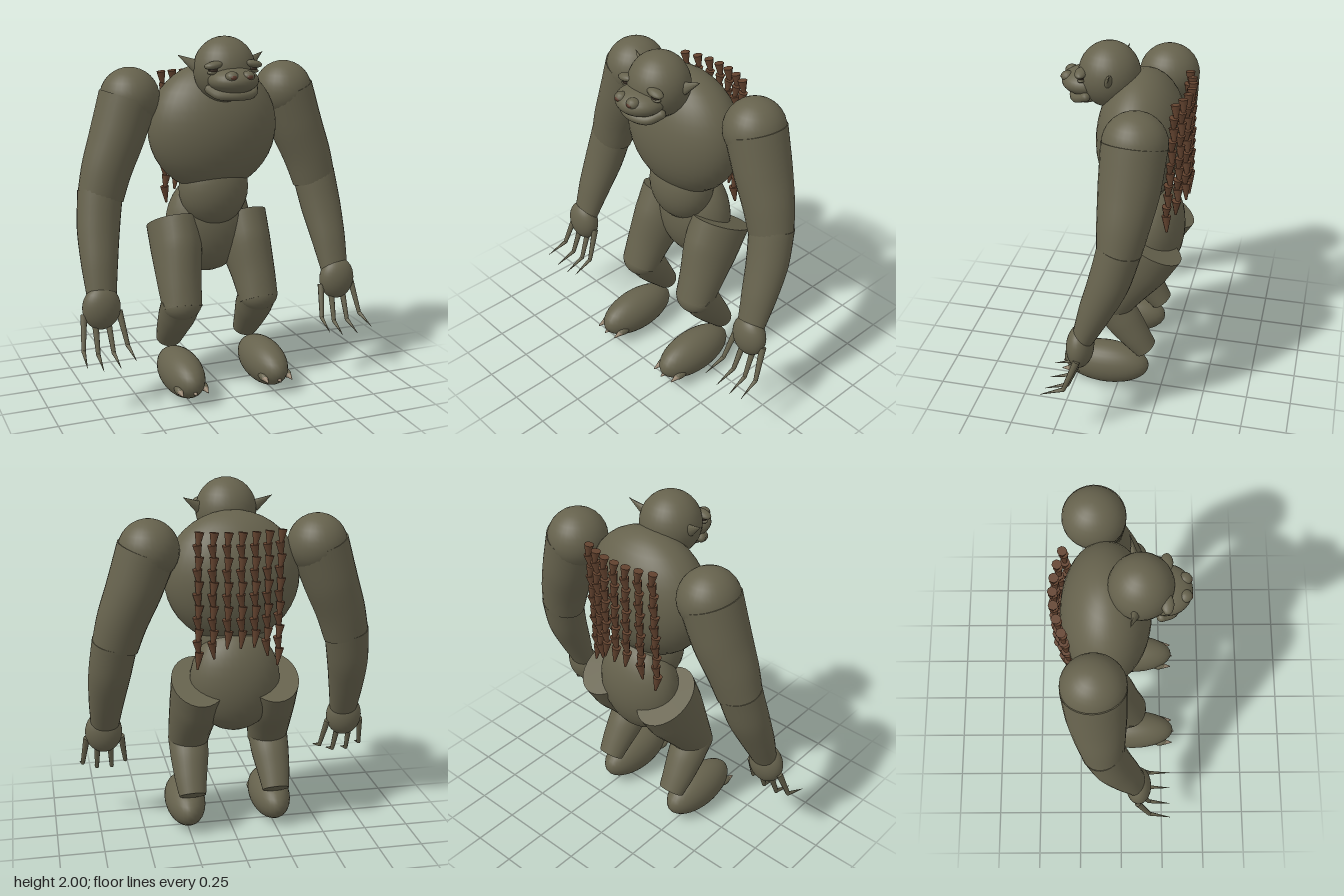
import * as THREE from 'three';

const mat = (name, color) => {
  const m = new THREE.MeshStandardMaterial({ color });
  m.name = name;
  return m;
};
const V = (a) => new THREE.Vector3(a[0], a[1], a[2]);

export function createModel() {
  const model = new THREE.Group();
  model.name = 'brute';
  const skin = mat('olive skin', 0x66624d);
  const braid = mat('brown braids', 0x63432f);
  const horn = mat('horn nails', 0x94836e);
  const nostrilMat = mat('dark red nostrils', 0x5a3a2c);
  const eyeMat = mat('dark eyes', 0x3b3026);

  const add = (name, geo, m, parent = model) => {
    const mesh = new THREE.Mesh(geo, m);
    mesh.name = name;
    parent.add(mesh);
    return mesh;
  };
  const ball = (name, pos, radii, m = skin, parent = model, seg = 32) => {
    const mesh = add(name, new THREE.SphereGeometry(1, seg, seg / 2), m, parent);
    mesh.position.set(...pos);
    mesh.scale.set(...radii);
    return mesh;
  };
  // Tapered rod from a to b
  const rod = (name, a, b, r1, r2, m, parent = model, seg = 8) => {
    const A = V(a), B = V(b), d = B.clone().sub(A);
    const mesh = add(name, new THREE.CylinderGeometry(r2, r1, d.length(), seg), m, parent);
    mesh.position.copy(A).add(B).multiplyScalar(0.5);
    mesh.quaternion.setFromUnitVectors(new THREE.Vector3(0, 1, 0), d.normalize());
    return mesh;
  };
  // Smooth limb through stations [x, y, z, side radius, front radius], with flat ends
  const limb = (name, stations, parent) => {
    const N = 28, M = (stations.length - 1) * 5;
    const path = new THREE.CatmullRomCurve3(stations.map(V));
    const size = new THREE.CatmullRomCurve3(stations.map((s) => new THREE.Vector3(s[3], s[4], 0)));
    const pos = [], idx = [];
    const ring = (k) => {
      const c = path.getPoint(k / M), r = size.getPoint(k / M), t = path.getTangent(k / M);
      const side = new THREE.Vector3(1, 0, 0).addScaledVector(t, -t.x).normalize();
      const f = t.clone().cross(side);
      for (let j = 0; j < N; j++) {
        const a = (j / N) * Math.PI * 2;
        const p = c.clone().addScaledVector(side, Math.cos(a) * r.x).addScaledVector(f, Math.sin(a) * r.y);
        pos.push(p.x, p.y, p.z);
      }
      return c;
    };
    for (let k = 0; k <= M; k++) ring(k);
    for (let k = 0; k < M; k++) {
      for (let j = 0; j < N; j++) {
        const a = k * N + j, b = k * N + ((j + 1) % N);
        idx.push(a, b, b + N, a, b + N, a + N);
      }
    }
    for (const k of [0, M]) {
      const base = pos.length / 3, c = ring(k);
      pos.push(c.x, c.y, c.z);
      for (let j = 0; j < N; j++) {
        const a = base + j, b = base + ((j + 1) % N);
        if (k) idx.push(base + N, a, b);
        else idx.push(base + N, b, a);
      }
    }
    const geo = new THREE.BufferGeometry();
    geo.setAttribute('position', new THREE.Float32BufferAttribute(pos, 3));
    geo.setIndex(idx);
    geo.computeVertexNormals();
    return add(name, geo, skin, parent);
  };

  // Torso
  ball('chest', [0, 1.49, -0.075], [0.37, 0.36, 0.237], skin, model, 40);
  ball('belly', [0, 1.15, -0.06], [0.2, 0.22, 0.16]);
  ball('pelvis', [0, 0.93, -0.15], [0.25, 0.29, 0.17]);

  // Head
  const head = new THREE.Group();
  head.name = 'head';
  model.add(head);
  ball('skull', [0, 1.825, 0.1], [0.167, 0.175, 0.165], skin, head);
  ball('muzzle', [0, 1.78, 0.225], [0.135, 0.07, 0.13], skin, head);
  ball('jaw', [0, 1.715, 0.215], [0.12, 0.04, 0.085], skin, head);
  const lip = new THREE.CatmullRomCurve3([[-0.125, 1.735, 0.2], [-0.09, 1.71, 0.26], [0, 1.705, 0.288],
    [0.09, 1.71, 0.26], [0.125, 1.735, 0.2]].map(V));
  add('lowerLip', new THREE.TubeGeometry(lip, 24, 0.025, 10), skin, head);

  for (const s of [-1, 1]) {
    const sideName = s > 0 ? 'left' : 'right';
    // Face details
    ball('lipCorner', [s * 0.125, 1.735, 0.2], [0.025, 0.025, 0.025], skin, head, 12);
    ball('noseKnob', [s * 0.045, 1.81, 0.315], [0.035, 0.028, 0.035], skin, head, 16);
    ball('nostril', [s * 0.045, 1.808, 0.343], [0.018, 0.012, 0.009], nostrilMat, head, 12);
    ball('eye', [s * 0.11, 1.838, 0.222], [0.026, 0.02, 0.02], eyeMat, head, 16);
    ball('eyelid', [s * 0.11, 1.824, 0.222], [0.035, 0.012, 0.02], skin, head, 16);
    ball('brow', [s * 0.11, 1.862, 0.225], [0.053, 0.021, 0.032], skin, head, 16).rotation.z = -s * 0.15;
    const ear = rod('ear', [s * 0.15, 1.845, 0.07], [s * 0.245, 1.905, 0.045], 0.035, 0, skin, head, 10);
    ear.scale.z = 0.6;

    // Arm
    const arm = new THREE.Group();
    arm.name = sideName + 'Arm';
    model.add(arm);
    ball('shoulder', [s * 0.455, 1.665, -0.135], [0.163, 0.165, 0.168], skin, arm);
    limb('upperArm', [
      [s * 0.465, 1.665, -0.135, 0.16, 0.168], [s * 0.535, 1.46, -0.125, 0.15, 0.158],
      [s * 0.6, 1.29, -0.11, 0.138, 0.136], [s * 0.643, 1.14, -0.095, 0.127, 0.114]], arm);
    limb('forearm', [
      [s * 0.643, 1.17, -0.1, 0.124, 0.115], [s * 0.672, 0.98, -0.05, 0.117, 0.108],
      [s * 0.69, 0.8, 0.02, 0.1, 0.088], [s * 0.7, 0.63, 0.085, 0.08, 0.06]], arm);
    ball('hand', [s * 0.708, 0.58, 0.1], [0.105, 0.122, 0.072], skin, arm);
    [[0.61, 0.585, 0.575], [0.675, 0.665, 0.66], [0.745, 0.75, 0.755], [0.805, 0.83, 0.843]].forEach((x, i) => {
      const drop = i === 1 || i === 2 ? -0.02 : 0.01;
      const knuckle = [s * x[1], 0.36 + drop, 0.165];
      rod('finger', [s * x[0], 0.54 + drop, 0.095], knuckle, 0.019, 0.012, skin, arm);
      ball('knuckle', knuckle, [0.0125, 0.0125, 0.0125], skin, arm, 8);
      rod('fingerClaw', knuckle, [s * x[2], 0.315 + drop, 0.29], 0.012, 0.001, skin, arm);
    });

    // Leg
    const leg = new THREE.Group();
    leg.name = sideName + 'Leg';
    model.add(leg);
    limb('thigh', [
      [s * 0.205, 0.94, -0.17, 0.147, 0.192], [s * 0.21, 0.8, -0.097, 0.142, 0.18],
      [s * 0.225, 0.64, -0.012, 0.125, 0.135], [s * 0.232, 0.5, 0.06, 0.112, 0.1]], leg);
    ball('knee', [s * 0.232, 0.525, 0.05], [0.113, 0.095, 0.1], skin, leg);
    limb('shin', [
      [s * 0.232, 0.54, 0.05, 0.115, 0.1], [s * 0.235, 0.44, -0.02, 0.108, 0.1],
      [s * 0.24, 0.34, -0.093, 0.092, 0.083], [s * 0.24, 0.255, -0.155, 0.076, 0.064]], leg);
    ball('foot', [s * 0.252, 0.132, 0.075], [0.115, 0.127, 0.25], skin, leg);
    [[0.18, 0], [0.252, 0.025], [0.325, 0]].forEach(([x, dz]) => {
      const root = [s * x, 0.1, 0.245 + dz];
      ball('toe', root, [0.024, 0.024, 0.045], skin, leg, 12);
      rod('toeNail', [s * x, 0.1, 0.265 + dz], [s * x, 0.09, 0.32 + dz * 0.5], 0.02, 0.003, horn, leg, 10);
    });
  }

  // Braids hanging down the back, each a string of downward cones
  for (let i = -3; i <= 3; i++) {
    const strand = new THREE.Group();
    strand.name = 'braid';
    model.add(strand);
    const out = Math.abs(i), count = [9, 9, 10, 11][out];
    const z0 = [-0.335, -0.33, -0.315, -0.29][out], lean = [0, 0, 0.02, 0.04][out];
    for (let k = 0; k < count; k++) {
      const y = 1.78 - k * 0.065, sway = (k % 2 ? 1 : -1) * 0.006;
      const x = i * 0.0725 + sway, z = z0 + (lean * k) / count;
      rod('braidLink', [x, y, z], [x - sway * 2, y - 0.095, z + sway], 0.026, 0.006, braid, strand, 8);
    }
  }
  return model;
}
